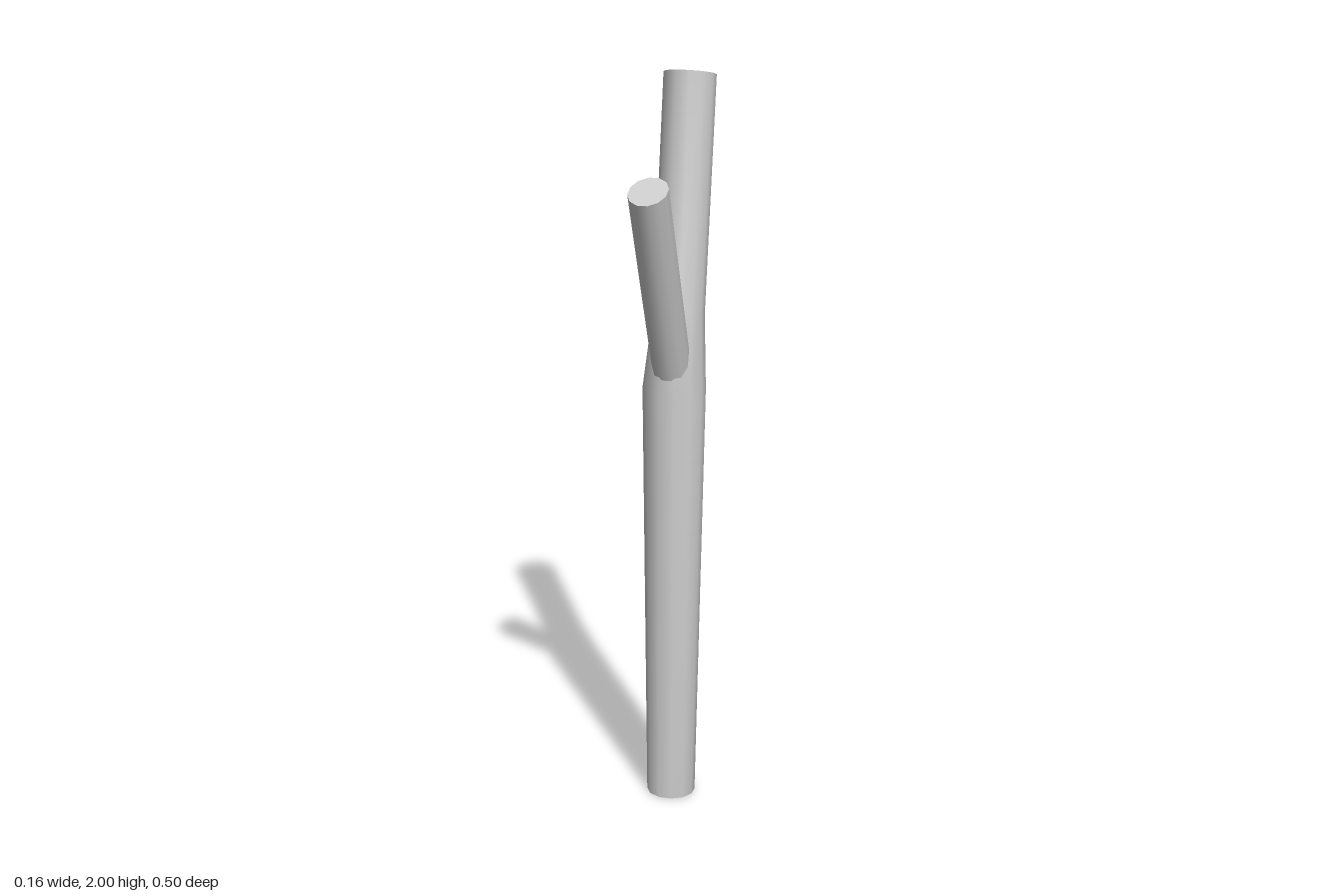
import * as THREE from 'three';

const SIDES = 12;
const FLAT = Math.cos(Math.PI / SIDES); // flats face front, back and sides

// Each section: height, depth, half width, half depth, lean towards the back
function limb(name, sections, material) {
  const pos = [], index = [];
  const addRing = ([y, z, rx, rz, lean]) => {
    for (let i = 0; i < SIDES; i++) {
      const a = ((i + 0.5) / SIDES) * Math.PI * 2;
      const d = (Math.cos(a) * rz) / FLAT;
      pos.push((Math.sin(a) * rx) / FLAT, y + d * Math.sin(lean), z + d * Math.cos(lean));
    }
  };

  // Smooth side wall
  sections.forEach(addRing);
  for (let s = 0; s < sections.length - 1; s++) {
    for (let i = 0; i < SIDES; i++) {
      const a = s * SIDES + i, b = s * SIDES + ((i + 1) % SIDES);
      index.push(a, b, b + SIDES, a, b + SIDES, a + SIDES);
    }
  }

  // Cut ends with their own vertices, so their rims stay sharp
  [sections[0], sections[sections.length - 1]].forEach((section, end) => {
    const start = pos.length / 3;
    addRing(section);
    for (let i = 1; i < SIDES - 1; i++) {
      if (end === 0) index.push(start, start + i + 1, start + i);
      else index.push(start, start + i, start + i + 1);
    }
  });

  const geometry = new THREE.BufferGeometry();
  geometry.setAttribute('position', new THREE.Float32BufferAttribute(pos, 3));
  geometry.setIndex(index);
  geometry.computeVertexNormals();
  const mesh = new THREE.Mesh(geometry, material);
  mesh.name = name;
  return mesh;
}

export function createModel() {
  const group = new THREE.Group();
  group.name = 'forkedBranch';
  const material = new THREE.MeshStandardMaterial({ color: 0xcccccc });

  // Main stem swells below the fork, then bends back
  group.add(limb('mainStem', [
    [0, 0, 0.065, 0.062, 0],
    [1.17, -0.031, 0.082, 0.08, 0.07],
    [1.365, -0.074, 0.067, 0.066, 0.17],
    [1.985, -0.178, 0.067, 0.073, 0.2],
  ], material));

  // Side shoot leans forward, its root buried in the stem
  group.add(limb('sideShoot', [
    [1.2, -0.02, 0.05, 0.052, -0.41],
    [1.733, 0.199, 0.05, 0.057, -0.49],
  ], material));

  return group;
}
